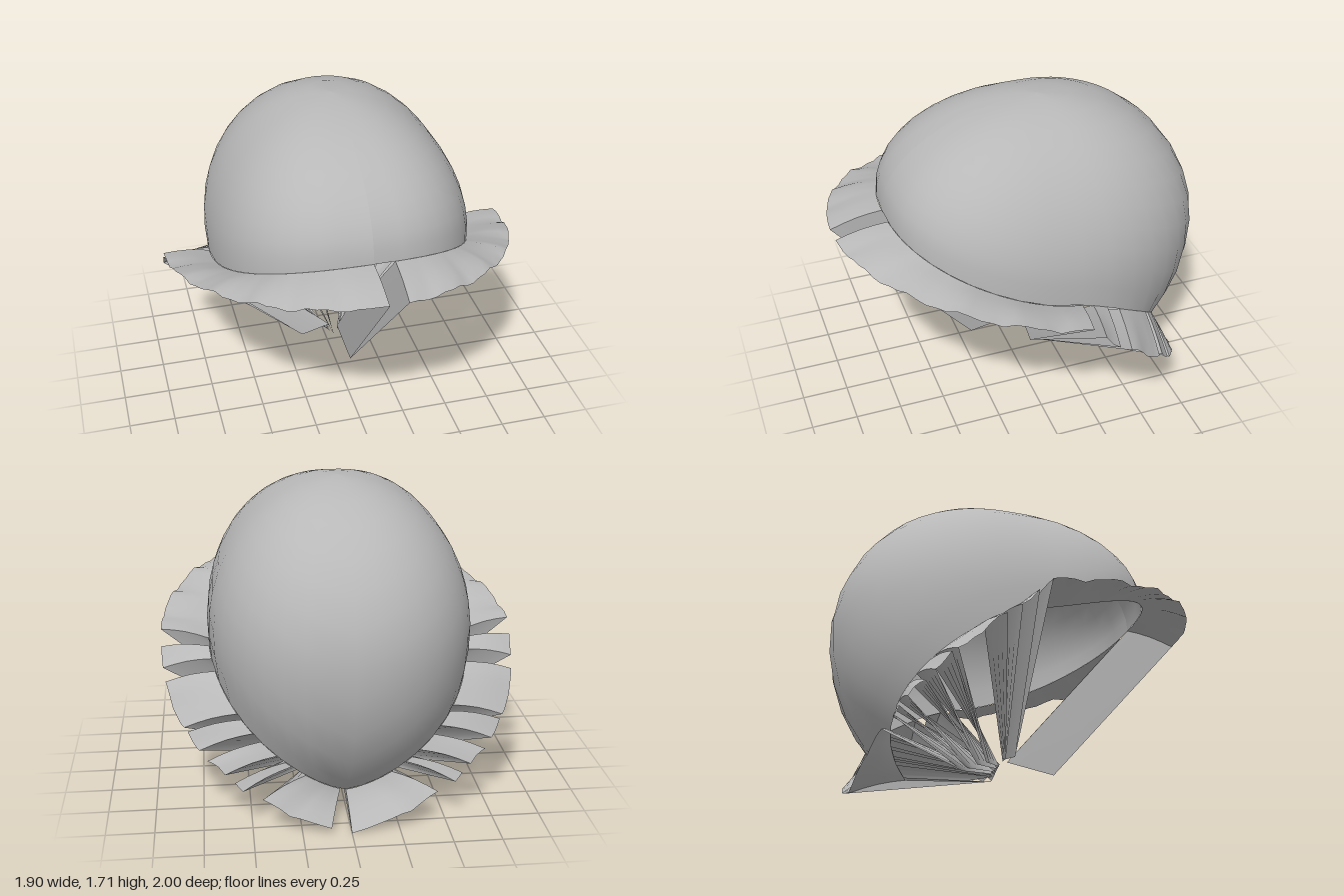
import * as THREE from 'three';

const RAD = Math.PI / 180;
const cloth = new THREE.MeshStandardMaterial({ color: 0xb8b8b8, side: THREE.DoubleSide });
cloth.name = 'grey cloth';

const spow = (v, p) => Math.sign(v) * Math.pow(Math.abs(v), p);
const mix = (a, b, t) => a.map((v, i) => v + (b[i] - v) * t);
// how far round the back an angle lies: 0 at the sides, 1 at the centre back
const backness = (deg) => Math.max(0, (Math.min(deg, 360 - deg) - 90) / 90);

// Smooth grid surface from a function of (s, t), both 0..1
function surface(name, nS, nT, fn) {
  const pos = [], idx = [];
  for (let i = 0; i <= nS; i++) {
    for (let j = 0; j <= nT; j++) {
      pos.push(...fn(i / nS, j / nT));
      if (i < nS && j < nT) {
        const a = i * (nT + 1) + j, b = a + nT + 1;
        idx.push(a, b, a + 1, b, b + 1, a + 1);
      }
    }
  }
  const g = new THREE.BufferGeometry();
  g.setAttribute('position', new THREE.Float32BufferAttribute(pos, 3));
  g.setIndex(idx);
  g.computeVertexNormals();
  const mesh = new THREE.Mesh(g, cloth);
  mesh.name = name;
  return mesh;
}

// Angle below the widest line at which the crown ends
function rimAngle(deg) {
  const d = Math.min(deg, 360 - deg);
  if (d < 90) return -6 * (d / 90) ** 2;
  return -6 - 54 * Math.pow(backness(d), 1.12);
}

// Point on the crown; deg runs round from the front towards +x, t from rim to top
function crownPoint(deg, t) {
  const s = Math.sin(deg * RAD), c = Math.cos(deg * RAD);
  const p0 = rimAngle(deg);
  const phi = (p0 + (90 - p0) * t) * RAD;
  const yc = 0.93 + 0.24 * Math.pow(Math.max(0, c), 1.2);
  const r = Math.cos(phi), e = c > 0 ? 2 / 2.45 : 2 / 2.2;
  const h = phi > 0 ? 1.71 - yc : 0.95;
  return [0.7 * spow(s, e) * r, yc + h * Math.sin(phi), -0.14 + 0.86 * spow(c, e) * r];
}

// Outer hem of the brim, lightly pleated
function hemPoint(deg) {
  const s = Math.sin(deg * RAD), c = Math.cos(deg * RAD), w = backness(deg);
  const e = c < 0 ? 2 / 2.4 : 1;
  const x = 0.95 * spow(s, e);
  const z = -0.1 + (c < 0 ? 0.76 : 1.1) * spow(c, e);
  const d = Math.min(deg, 360 - deg);
  const pleat = 0.011 * (Math.sin(d * 0.37) + 0.6 * Math.sin(d * 0.83)) * Math.min(1, d / 20, (180 - d) / 20);
  const y = c > 0 ? 0.87 + 0.24 * c : 0.87 - 0.865 * Math.pow(w, 0.75);
  return [x, Math.max(0, y + pleat), z];
}

// Brim cross-section from the crown rim (t = 0) to the hem (t = 1)
function brimPoint(deg, t) {
  const p = mix(crownPoint(deg, 0), hemPoint(deg), t);
  p[1] += 0.012 * Math.sin(Math.PI * t);
  return p;
}

// Gathered cross-section where a tuck is drawn in under the crown
function gatherPoint(deg, t) {
  const [x, , z] = hemPoint(deg), w = backness(deg);
  const inner = [x * 0.04, 0.27 - 0.12 * w, -0.02 - 0.07 * Math.min(1, w + (z < 0.3 ? 0.4 : 0))];
  const outer = [x * 0.21, 0.23 - 0.11 * w, z * (z < 0 ? 0.3 + 0.13 * w : 0.25)];
  // the gather shrinks to a point at the centre back
  return mix(inner, mix(outer, inner, w ** 8), t);
}

export function createModel() {
  const group = new THREE.Group();
  group.name = 'bonnet';

  // crown
  group.add(surface('crown', 40, 12, (s, t) => crownPoint(s * 360, t)));

  // tucks: start and end angle of each, mirrored, plus single ones at front and back
  const side = [[90, 93.3], [98.5, 103.5], [121, 123.5], [130, 134], [142, 146], [149, 156]];
  const tucks = [[0, 6], ...side, [176, 180], ...side.map(([a, b]) => [360 - b, 360 - a]).reverse()];

  tucks.forEach(([a, b], i) => {
    const mid = (a + b) / 2;
    // two walls of the tuck, running down to the gathered line
    for (const edge of [a, b]) {
      group.add(surface('tuckWall', 1, 4, (s, t) => mix(brimPoint(edge, t), gatherPoint(mid, t), s)));
    }
    // brim panel up to the next tuck
    const next = i + 1 < tucks.length ? tucks[i + 1][0] : 360;
    const n = Math.max(2, Math.ceil((next - b) / 3));
    group.add(surface('brimPanel', n, 4, (s, t) => brimPoint(b + (next - b) * s, t)));
  });

  return group;
}
